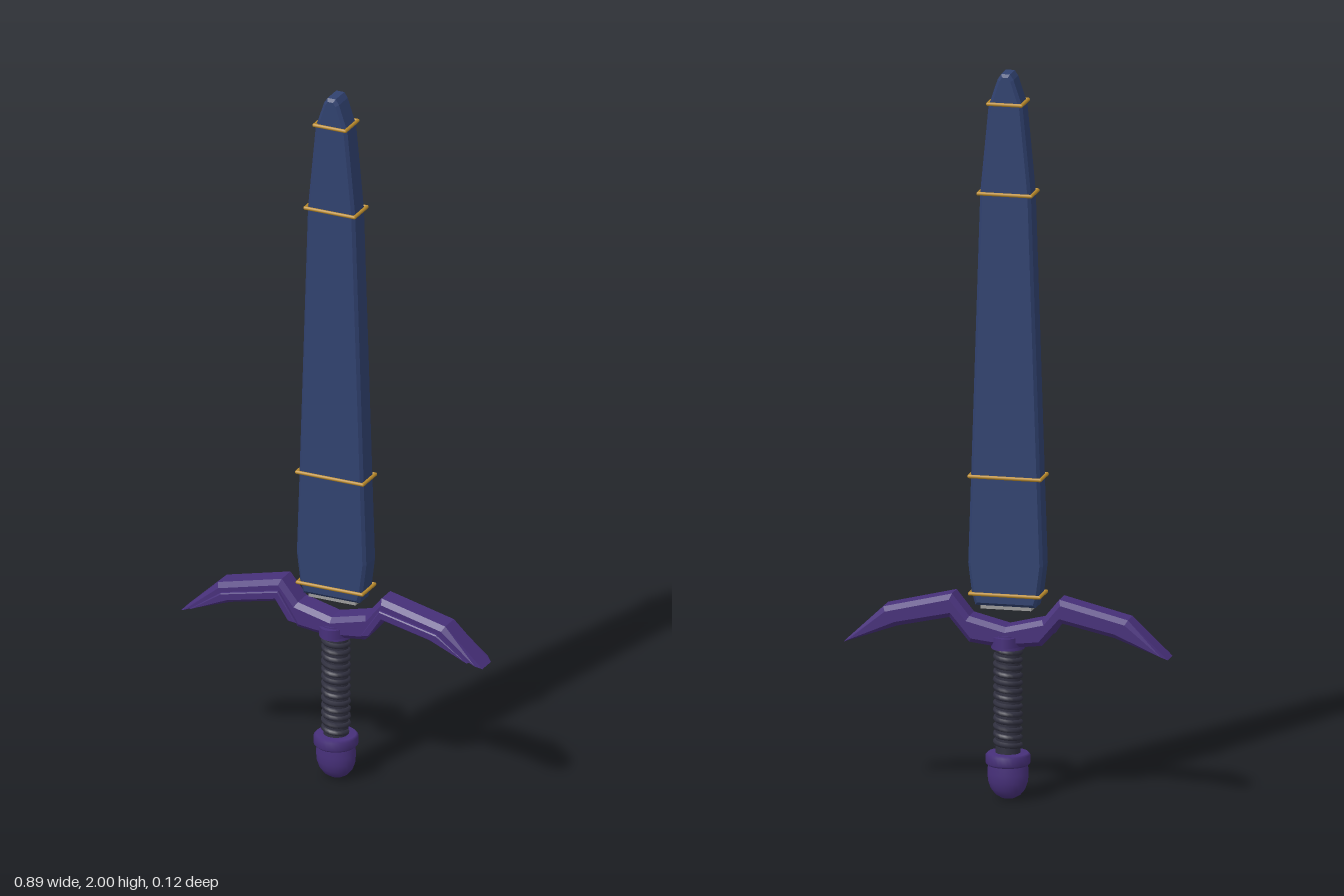
import * as THREE from 'three';

const mat = (name, color) => {
  const m = new THREE.MeshStandardMaterial({ color });
  m.name = name;
  return m;
};

export function createModel() {
  const root = new THREE.Group();
  root.name = 'sheathedSword';
  const blue = mat('sheath blue', 0x30416f);
  const purple = mat('guard purple', 0x47307a);
  const gold = mat('band gold', 0xb98a2c);
  const dark = mat('grip dark', 0x30303f);
  const grey = mat('throat grey', 0x9a9a9a);

  const add = (name, geo, material, x = 0, y = 0, z = 0, parent = root) => {
    const m = new THREE.Mesh(geo, material);
    m.name = name;
    m.position.set(x, y, z);
    parent.add(m);
    return m;
  };
  // Mirrored outline (right half listed bottom to top) with chamfered edges, centred on z
  const slab = (half, depth, bevel) => {
    const pts = [...half, ...half.slice().reverse().map(([x, y]) => [-x, y])]
      .filter(([x, y], i, a) => i === 0 || x !== a[i - 1][0] || y !== a[i - 1][1]);
    return plate(pts, depth, bevel);
  };
  const plate = (pts, depth, bevel) => {
    const shape = new THREE.Shape(pts.map(([x, y]) => new THREE.Vector2(x, y)));
    const geo = new THREE.ExtrudeGeometry(shape, {
      depth: depth - 2 * bevel, bevelEnabled: bevel > 0, bevelThickness: bevel,
      bevelSize: bevel, bevelOffset: -bevel, bevelSegments: 1,
    });
    return geo.translate(0, 0, -depth / 2 + bevel);
  };

  // Sheath and its throat
  add('sheath', slab([[0.083, 0.535], [0.093, 0.57], [0.103, 0.65], [0.095, 0.89], [0.07, 1.67],
    [0.047, 1.91], [0.022, 1.985], [0.012, 2]], 0.07, 0.008), blue);
  add('sheathThroat', new THREE.BoxGeometry(0.14, 0.03, 0.05), grey, 0, 0.54, 0);

  // Gold bands: four rods with rounded corners
  const r = 0.005;
  for (const [y, hx] of [[0.567, 0.096], [0.89, 0.098], [1.67, 0.073], [1.918, 0.046]]) {
    const band = new THREE.Group();
    band.name = 'sheathBand';
    band.position.y = y;
    root.add(band);
    const hz = 0.039;
    for (const s of [-1, 1]) {
      add('bandFace', new THREE.CylinderGeometry(r, r, 2 * hx, 8).rotateZ(Math.PI / 2), gold, 0, 0, s * hz, band);
      add('bandSide', new THREE.CylinderGeometry(r, r, 2 * hz, 8).rotateX(Math.PI / 2), gold, s * hx, 0, 0, band);
      for (const t of [-1, 1]) add('bandCorner', new THREE.SphereGeometry(r, 8, 6), gold, s * hx, 0, t * hz, band);
    }
  }

  // Winged guard
  add('guard', slab([[0.04, 0.425], [0.1, 0.432], [0.155, 0.497], [0.3, 0.465], [0.447, 0.412],
    [0.337, 0.516], [0.148, 0.562], [0.1, 0.503], [0, 0.478]], 0.08, 0.013), purple);

  // Raised strips on the front of the wings
  const strip = [[0.095, 0.45], [0.12, 0.452], [0.158, 0.508], [0.3, 0.476], [0.412, 0.43],
    [0.32, 0.495], [0.15, 0.533]];
  for (const s of [-1, 1]) {
    add('guardStrip', plate(strip.map(([x, y]) => [s * x, y]), 0.016, 0.003), purple, 0, 0, 0.042);
  }

  // Collar under the guard
  add('collar', new THREE.CylinderGeometry(0.045, 0.045, 0.04, 24), purple, 0, 0.435, 0);
  add('collarRing', new THREE.CylinderGeometry(0.042, 0.042, 0.027, 24).scale(1, 1, 1.4), purple, 0, 0.438, 0);

  // Grip with spiral wrap
  add('grip', new THREE.CylinderGeometry(0.034, 0.034, 0.31, 20), dark, 0, 0.275, 0);
  const turns = 13, coil = [];
  for (let i = 0; i <= turns * 16; i++) {
    const a = (i / 16) * Math.PI * 2;
    coil.push(new THREE.Vector3(Math.cos(a) * 0.033, 0.138 + (i / (turns * 16)) * 0.277, Math.sin(a) * 0.033));
  }
  add('gripWrap', new THREE.TubeGeometry(new THREE.CatmullRomCurve3(coil), turns * 20, 0.008, 6), dark);

  // Pommel ring and dome
  const ring = [[0, 0.094], [0.054, 0.094], [0.06, 0.1], [0.06, 0.122], [0.054, 0.128], [0, 0.128]];
  add('pommelRing', new THREE.LatheGeometry(ring.map(([x, y]) => new THREE.Vector2(x, y)), 28), purple);
  const dome = [[0, 0], [0.018, 0.003], [0.034, 0.012], [0.047, 0.028], [0.054, 0.048], [0.056, 0.07], [0.054, 0.1]];
  add('pommel', new THREE.LatheGeometry(dome.map(([x, y]) => new THREE.Vector2(x, y)), 28).scale(1, 1, 0.77), purple);

  return root;
}
